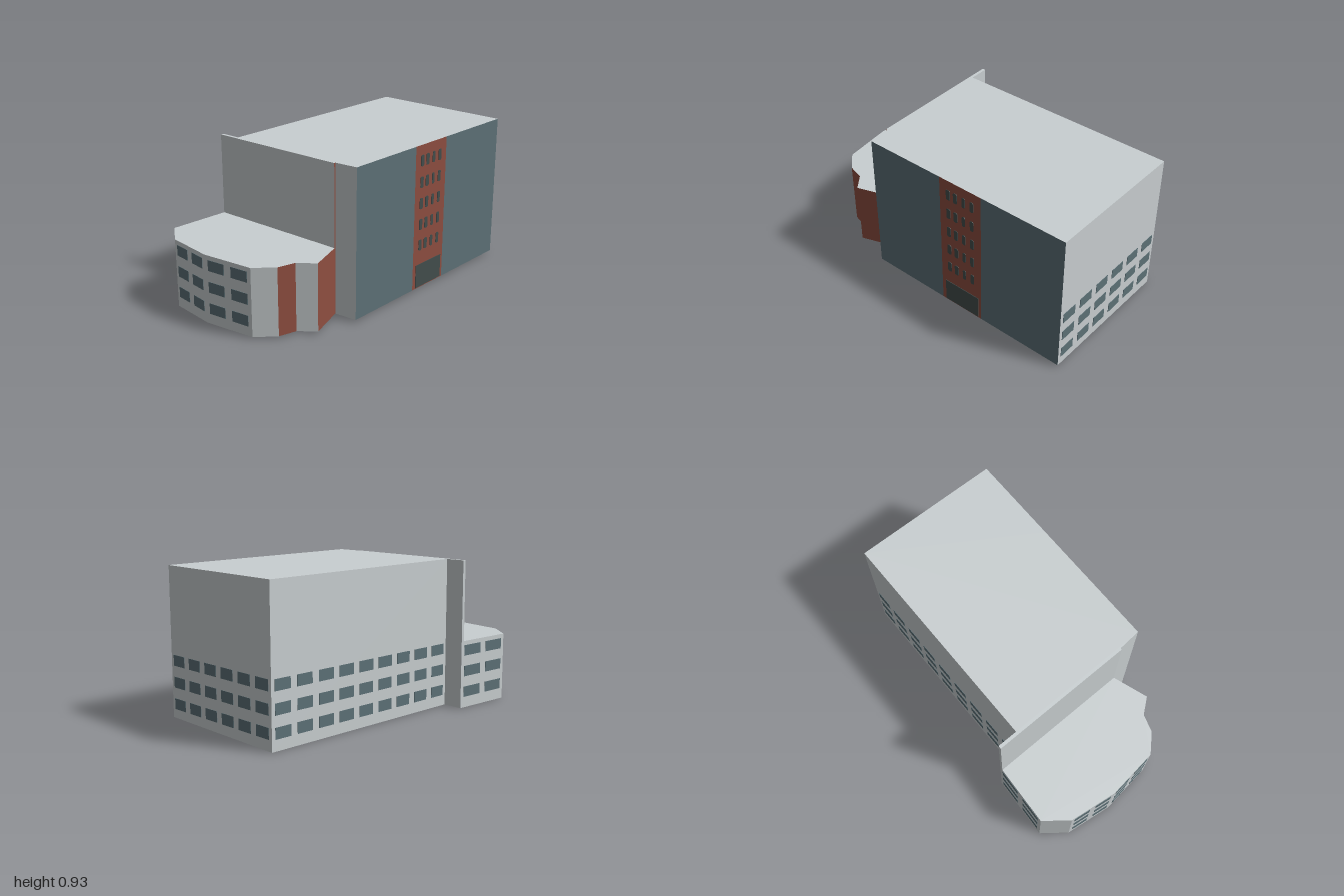
import * as THREE from 'three';

const mat = (name, color) => {
  const m = new THREE.MeshStandardMaterial({ color });
  m.name = name;
  return m;
};

export function createModel() {
  const pale = mat('paleWall', 0xc9cfd1);
  const slate = mat('slateBlue', 0x5d7177);
  const brick = mat('brickRed', 0x8e4e40);
  const dark = mat('darkGlass', 0x434d4c);
  const mats = [pale, slate, brick];
  const model = new THREE.Group();
  model.name = 'building';

  // The ground under the building slopes gently down to the back
  const groundY = (z) => 0.0072 + 0.013 * z;

  // Upright block from an [x, z] outline; wallMats picks a material index per wall
  function block(name, outline, top, wallMats = []) {
    const pos = [];
    const geo = new THREE.BufferGeometry();
    const low = ([x, z]) => [x, groundY(z), z];
    const high = ([x, z]) => [x, top, z];
    const tri = (a, b, c) => pos.push(...a, ...b, ...c);
    outline.forEach((a, i) => {
      const b = outline[(i + 1) % outline.length];
      geo.addGroup(pos.length / 3, 6, wallMats[i] ?? 0);
      tri(low(a), low(b), high(b));
      tri(low(a), high(b), high(a));
    });
    const start = pos.length / 3;
    const flat = outline.map(([x, z]) => new THREE.Vector2(x, -z));
    for (const [i, j, k] of THREE.ShapeUtils.triangulateShape(flat, [])) {
      tri(high(outline[i]), high(outline[j]), high(outline[k]));
      tri(low(outline[k]), low(outline[j]), low(outline[i]));
    }
    geo.addGroup(start, pos.length / 3 - start, 0);
    geo.setAttribute('position', new THREE.Float32BufferAttribute(pos, 3));
    geo.computeVertexNormals();
    const mesh = new THREE.Mesh(geo, mats);
    mesh.name = name;
    model.add(mesh);
  }

  // Group lying on the wall from a to b: local x runs along it, z points out
  function wallFrame(name, a, b) {
    const g = new THREE.Group();
    g.name = name;
    g.position.set(a[0], 0, a[1]);
    g.rotation.y = Math.atan2(a[1] - b[1], b[0] - a[0]);
    g.userData.length = Math.hypot(b[0] - a[0], b[1] - a[1]);
    model.add(g);
    return g;
  }

  function plate(parent, name, geo, material, x, y) {
    const m = new THREE.Mesh(geo, material);
    m.name = name;
    m.position.set(x, y, 0);
    parent.add(m);
  }

  // Three storeys of evenly spaced windows
  function windowRows(name, a, b, columns, fill = 0.7) {
    const g = wallFrame(name, a, b);
    const pitch = g.userData.length / columns;
    const geo = new THREE.BoxGeometry(pitch * fill, 0.066, 0.005);
    for (let c = 0; c < columns; c++) {
      for (const y of [0.102, 0.235, 0.368]) plate(g, 'window', geo, slate, (c + 0.5) * pitch, y);
    }
  }

  // Tall main block, with a brick strip in its slate front
  const frontZ = (x) => 0.525 + (x + 0.435) * 0.0171;
  const frontLeft = [-0.435, 0.525], frontRight = [0.972, frontZ(0.972)];
  const backRight = [0.997, -0.38], backLeft = [-0.435, -0.402];
  block('mainBlock', [
    frontLeft, [0.1, frontZ(0.1)], [0.403, frontZ(0.403)], frontRight,
    backRight, backLeft, [-0.445, 0.38],
  ], 0.933, [1, 2, 1]);

  // Thin tall wall between the main block and the wing
  block('dividingWall', [[-0.455, 0.38], [-0.436, 0.38], [-0.435, -0.529], [-0.455, -0.53]], 0.933, [2]);

  // Low faceted wing
  const wing = [
    [-0.965, 0.22], [-0.863, 0.325], [-0.755, 0.358], [-0.68, 0.455], [-0.455, 0.382],
    [-0.455, -0.53], [-0.84, -0.555], [-0.957, -0.41], [-1, -0.11],
  ];
  block('wing', wing, 0.428, [0, 2, 0, 2]);

  // Plain rows of windows
  windowRows('rightWindows', frontRight, backRight, 6);
  windowRows('backWindows', backRight, backLeft, 9);
  windowRows('wingBackWindows', [-0.435, -0.529], wing[6], 2, 0.74);
  windowRows('wingSideWindows', wing[7], wing[8], 2);
  windowRows('wingSideWindows', wing[8], wing[0], 2);

  // Rounded stair windows and the entrance on the brick strip
  const front = wallFrame('frontDetails', frontLeft, frontRight);
  function roundedPlate(w, h, r) {
    const s = new THREE.Shape();
    const x = w / 2 - r, y = h / 2 - r;
    s.absarc(x, y, r, 0, Math.PI / 2);
    s.absarc(-x, y, r, Math.PI / 2, Math.PI);
    s.absarc(-x, -y, r, Math.PI, Math.PI * 1.5);
    s.absarc(x, -y, r, Math.PI * 1.5, Math.PI * 2);
    return new THREE.ExtrudeGeometry(s, { depth: 0.003, bevelEnabled: false, curveSegments: 4 });
  }
  for (const [x, w] of [[0.164, 0.029], [0.217, 0.029], [0.277, 0.023], [0.338, 0.026]]) {
    const geo = roundedPlate(w, 0.07, 0.01);
    for (let row = 0; row < 5; row++) plate(front, 'stairWindow', geo, dark, x + 0.435, 0.297 + row * 0.1345);
  }
  plate(front, 'entrance', new THREE.BoxGeometry(0.254, 0.15, 0.006), dark, 0.255 + 0.435, 0.095);

  return model;
}
